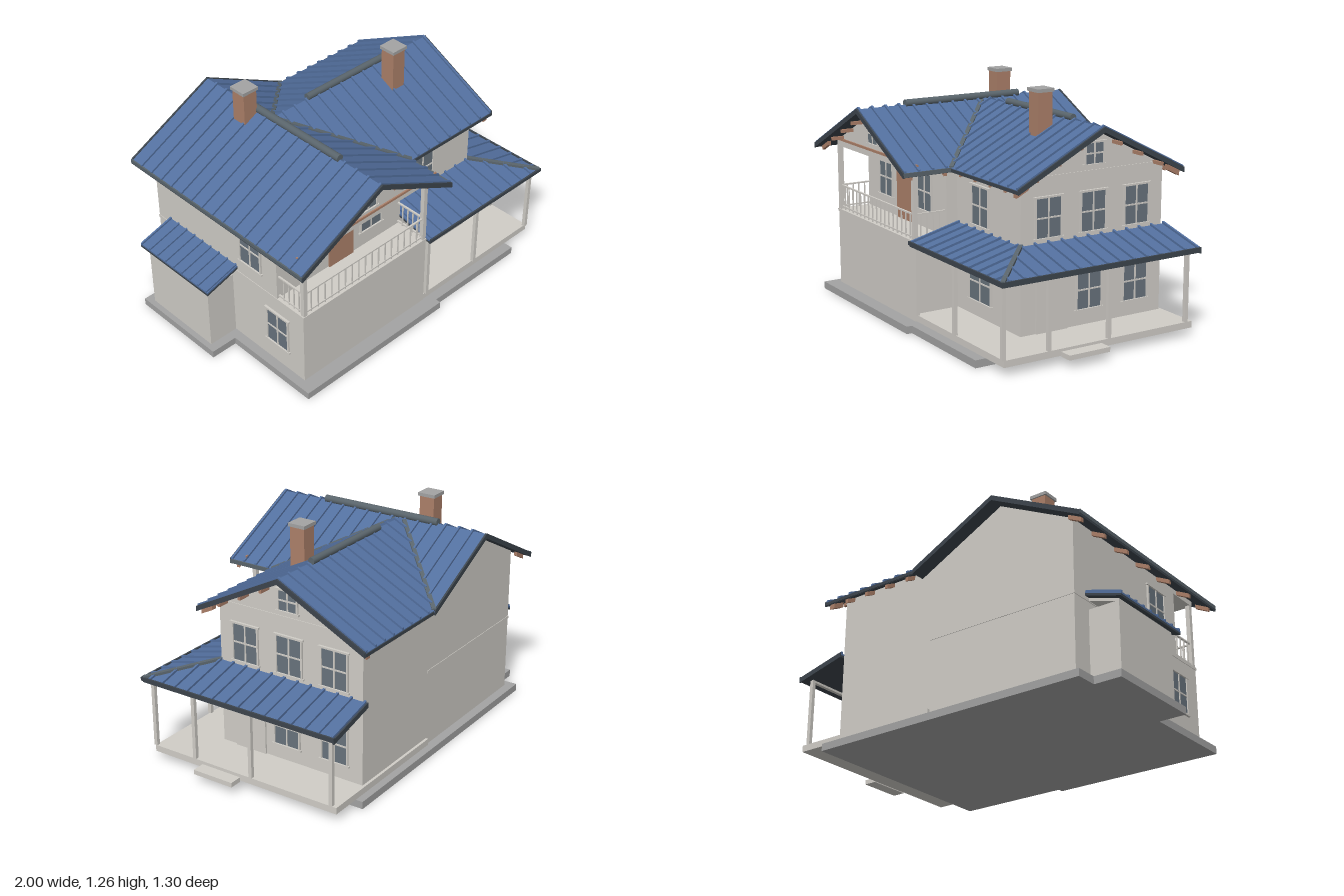
import * as THREE from 'three';

const material = (name, color) => {
  const m = new THREE.MeshStandardMaterial({ color });
  m.name = name;
  return m;
};

export function createModel() {
  const wall = material('plaster', 0xd0cdc7);
  const blue = material('blue roof metal', 0x53709f);
  const slate = material('dark trim', 0x3d454d);
  const cap = material('ridge metal', 0x5a656c);
  const glass = material('window glass', 0x68737d);
  const brown = material('brown wood and brick', 0xac8069);
  const stone = material('foundation stone', 0xa3a3a3);
  const house = new THREE.Group();
  house.name = 'house';

  const add = (name, geo, mat, parent = house) => {
    const m = new THREE.Mesh(geo, mat);
    m.name = name;
    parent.add(m);
    return m;
  };
  const box = (name, mat, x0, x1, y0, y1, z0, z1, parent = house) => {
    const m = add(name, new THREE.BoxGeometry(x1 - x0, y1 - y0, z1 - z0), mat, parent);
    m.position.set((x0 + x1) / 2, (y0 + y1) / 2, (z0 + z1) / 2);
    return m;
  };
  const shapeOf = pts => new THREE.Shape(pts.map(p => new THREE.Vector2(p[0], p[1])));
  // Prism over a plan polygon of [x, z], sheared onto the roof height h(x, z)
  const slab = (name, mat, plan, h, low, high) => {
    const geo = new THREE.ExtrudeGeometry(shapeOf(plan.map(([x, z]) => [x, -z])),
      { depth: high - low, bevelEnabled: false });
    geo.rotateX(-Math.PI / 2);
    const p = geo.attributes.position;
    for (let i = 0; i < p.count; i++) p.setY(i, p.getY(i) + low + h(p.getX(i), p.getZ(i)));
    geo.computeVertexNormals();
    return add(name, geo, mat);
  };
  const rect = (x0, x1, z0, z1) => [[x0, z0], [x1, z0], [x1, z1], [x0, z1]];
  const roofPanel = (name, plan, h) => {
    slab(name, blue, plan, h, -0.01, 0);
    slab(name + 'Soffit', slate, plan, h, -0.022, -0.01);
  };
  // Strip of roof metal along a plan line
  const strip = (name, mat, [x0, z0], [x1, z1], w, h, low, high) => {
    const l = Math.hypot(x1 - x0, z1 - z0), nx = -(z1 - z0) / l * w, nz = (x1 - x0) / l * w;
    slab(name, mat, [[x0 + nx, z0 + nz], [x1 + nx, z1 + nz], [x1 - nx, z1 - nz], [x0 - nx, z0 - nz]], h, low, high);
  };

  // Foundation, porch floor and step
  box('leftFoundation', stone, -0.85, 0.12, 0, 0.04, -0.62, 0.63);
  box('rightFoundation', stone, 0.12, 0.745, 0, 0.04, -0.62, 0.6);
  box('shedFoundation', stone, -1, -0.85, 0, 0.04, -0.5, 0.07);
  box('porchFloor', wall, 0.07, 0.92, 0.045, 0.08, -0.585, 0.55);
  box('porchStep', wall, 0.93, 1, 0.045, 0.07, -0.01, 0.23);

  // Left wing: lower storey, recessed upper storey, gable over the balcony
  const RX = -0.365, RZ = -0.135, TOP = 1.1;
  box('lowerLeftWing', wall, -0.8, 0.07, 0.04, 0.465, -0.57, 0.55);
  box('balconyFloor', wall, -0.803, 0.073, 0.455, 0.47, -0.573, 0.555);
  const gableBlock = (name, a, b, ridge, y0, depth) => new THREE.ExtrudeGeometry(
    shapeOf([[a, y0], [b, y0], [b, 0.862], [ridge, 1.078], [a, 0.862]]), { depth, bevelEnabled: false });
  add('upperLeftWing', gableBlock('', -0.8, 0.07, RX, 0.465, 0.93), wall).position.z = -0.57;
  add('balconyGable', gableBlock('', -0.8, 0.07, RX, 0.83, 0.2), wall).position.z = 0.35;
  box('gableBeam', brown, -0.84, 0.12, 0.864, 0.877, 0.55, 0.558);

  // Right wing
  const rightWing = add('rightWing', gableBlock('', -0.295, 0.57, -RZ, 0.04, 0.6), wall);
  rightWing.rotation.y = Math.PI / 2;
  rightWing.position.x = 0.07;
  box('sideGableBand', wall, 0.67, 0.674, 0.835, 0.875, -0.57, 0.295);

  // Main roofs, meeting in two valleys
  const hL = x => TOP - 0.505 * Math.abs(x - RX);
  const hR = (x, z) => TOP - 0.505 * Math.abs(z - RZ);
  const BACK = -0.645, FRONT = 0.645, LEFT = -0.89, RIGHT = 0.14, END = 0.76, RUN = 0.505;
  roofPanel('leftRoofOuter', rect(LEFT, RX, BACK, FRONT), hL);
  roofPanel('leftRoofInner', rect(RX, RIGHT, BACK, FRONT), hL);
  for (const s of [1, -1]) {
    const eave = RZ + s * RUN;
    roofPanel('rightRoof', [[RX, RZ], [END, RZ], [END, eave], [RIGHT, eave]], hR);
    strip('valley', cap, [RX + 0.03, RZ + s * 0.03], [RIGHT, eave], 0.011,
      (x, z) => Math.max(hL(x), hR(x, z)), 0, 0.007);
    for (let x = END - 0.012; x > RX + 0.03; x -= 0.08) {
      const run = Math.min(RUN, x - RX);
      const z = RZ + s * run;
      slab('rightRoofRib', blue, rect(x - 0.006, x + 0.006, Math.min(RZ, z), Math.max(RZ, z)), hR, 0, 0.012);
    }
    strip('sideVerge', slate, [END, RZ], [END, eave], 0.005, hR, -0.024, 0.004);
    box('rightEave', slate, RIGHT, END, 0.825, 0.842, eave - 0.004, eave + 0.004);
    for (const x of [0.2, 0.34, 0.48, 0.62])
      strip('rafterTail', brown, [x, eave - s * 0.08], [x, eave - s * 0.015], 0.009, hR, -0.045, -0.02);
    for (const d of [0.12, 0.25, 0.38])
      box('purlinEnd', brown, 0.67, 0.74, hR(0, RZ + d) - 0.043, hR(0, RZ + d) - 0.025,
        RZ + s * d - 0.008, RZ + s * d + 0.008);
    strip('endRafter', brown, [0.72, eave - s * 0.08], [0.72, eave - s * 0.01], 0.015, hR, -0.05, -0.02);
  }
  for (let z = FRONT - 0.01; z > BACK; z -= 0.08) {
    slab('leftRoofRib', blue, rect(LEFT, RX, z - 0.006, z + 0.006), hL, 0, 0.012);
    const reach = Math.min(RIGHT, RX + (z > RZ + RUN ? 1 : Math.abs(z - RZ)));
    if (reach > RX + 0.02) slab('leftRoofRib', blue, rect(RX, reach, z - 0.006, z + 0.006), hL, 0, 0.012);
  }
  for (const z of [BACK, FRONT]) for (const x of [LEFT, RIGHT])
    strip('verge', slate, [RX, z], [x, z], 0.005, hL, -0.024, 0.004);
  box('leftEave', cap, LEFT - 0.004, LEFT + 0.004, 0.822, 0.842, BACK, FRONT);
  box('innerEave', cap, RIGHT - 0.004, RIGHT + 0.004, 0.825, 0.847, RZ + RUN, FRONT);
  for (const z of [-0.6, -0.4, -0.2, 0, 0.2, 0.4, 0.6]) {
    strip('rafterTail', brown, [LEFT + 0.015, z], [LEFT + 0.09, z], 0.009, hL, -0.045, -0.02);
    if (z > 0.39) strip('rafterTail', brown, [0.07, z], [RIGHT - 0.01, z], 0.009, hL, -0.045, -0.02);
  }
  for (const d of [-0.36, -0.24, -0.12, 0.12, 0.24, 0.36])
    box('purlinEnd', brown, RX + d - 0.008, RX + d + 0.008, hL(RX + d) - 0.043, hL(RX + d) - 0.025, 0.55, 0.62);

  // Ridge caps
  const leftCap = add('leftRidgeCap', new THREE.CylinderGeometry(0.021, 0.021, 0.715, 12), cap);
  leftCap.rotation.x = Math.PI / 2;
  leftCap.position.set(RX, 1.107, 0);
  const rightCap = add('rightRidgeCap', new THREE.CylinderGeometry(0.019, 0.019, 0.605, 12), cap);
  rightCap.rotation.z = Math.PI / 2;
  rightCap.position.set(0.183, 1.109, -0.14);

  // Chimneys
  for (const [x, z, y] of [[0.382, -0.012, 1.24], [-0.42, -0.277, 1.23]]) {
    box('chimney', brown, x - 0.042, x + 0.042, 0.95, y, z - 0.043, z + 0.043);
    box('chimneyCap', stone, x - 0.05, x + 0.05, y, y + 0.018, z - 0.05, z + 0.05);
  }

  // Wraparound porch roof
  const hF = (x, z) => 0.54 - 0.25 * (z - 0.295);
  const hS = x => 0.54 - 0.25 * (x - 0.67);
  roofPanel('porchRoofFront', [[0.07, 0.295], [0.67, 0.295], [0.955, 0.58], [0.07, 0.58]], hF);
  roofPanel('porchRoofSide', [[0.67, -0.595], [0.67, 0.295], [0.955, 0.58], [0.955, -0.595]], hS);
  for (let x = 0.09; x < 0.93; x += 0.08)
    slab('porchRib', blue, rect(x - 0.006, x + 0.006, 0.295 + Math.max(0, x - 0.67), 0.58), hF, 0, 0.012);
  for (let z = -0.585; z < 0.56; z += 0.08)
    slab('porchRib', blue, rect(0.67 + Math.max(0, z - 0.295), 0.955, z - 0.006, z + 0.006), hS, 0, 0.012);
  strip('porchHip', cap, [0.67, 0.295], [0.955, 0.58], 0.011, (x, z) => Math.min(hF(x, z), hS(x)), 0, 0.014);
  box('porchFrontFascia', slate, 0.07, 0.962, 0.457, 0.476, 0.578, 0.588);
  box('porchSideFascia', slate, 0.953, 0.963, 0.457, 0.476, -0.6, 0.588);
  strip('porchEndVerge', slate, [0.67, -0.597], [0.96, -0.597], 0.004, hS, -0.024, 0.004);

  // Porch posts and beams
  const posts = [[0.09, 0.55], [0.47, 0.55], [0.91, 0.55], [0.91, 0.29], [0.91, -0.065], [0.91, -0.55]];
  for (const [x, z] of posts) box('porchPost', wall, x - 0.01, x + 0.01, 0.08, 0.455, z - 0.01, z + 0.01);
  box('porchFrontBeam', wall, 0.08, 0.92, 0.448, 0.46, 0.54, 0.56);
  box('porchSideBeam', wall, 0.9, 0.92, 0.448, 0.46, -0.56, 0.56);

  // Balcony posts and railing
  for (const x of [-0.785, 0.055]) {
    box('balconyPost', wall, x - 0.012, x + 0.012, 0.47, 0.835, 0.528, 0.552);
    for (const y of [0.485, 0.605]) box('sideRail', wall, x - 0.005, x + 0.005, y - 0.004, y + 0.004, 0.36, 0.54);
    for (let i = 1; i < 5; i++)
      box('sideBaluster', wall, x - 0.003, x + 0.003, 0.47, 0.605, 0.357 + i * 0.036, 0.363 + i * 0.036);
  }
  for (const y of [0.485, 0.605]) box('frontRail', wall, -0.785, 0.055, y - 0.004, y + 0.004, 0.535, 0.545);
  for (let i = 1; i < 18; i++) {
    const x = -0.785 + i * 0.84 / 18;
    box('frontBaluster', wall, x - 0.003, x + 0.003, 0.47, 0.605, 0.537, 0.543);
  }

  // Windows: glass, frame, glazing bars and sill
  const addWindow = (x, y, z, w, h, turn = 0) => {
    const g = new THREE.Group();
    g.name = 'window';
    const a = w / 2, b = h / 2, f = 0.01;
    box('glass', glass, -a, a, -b, b, 0, 0.004, g);
    for (const s of [-1, 1]) {
      box('frameSide', wall, s * a - f / 2, s * a + f / 2, -b, b, 0, 0.01, g);
      box(s < 0 ? 'sill' : 'head', wall, -a - 0.012, a + 0.012, s * b - f / 2, s * b + f / 2, 0, 0.013, g);
    }
    box('uprightBar', wall, -0.004, 0.004, -b, b, 0, 0.008, g);
    box('crossBar', wall, -a, a, -0.004, 0.004, 0, 0.008, g);
    g.position.set(x, y, z);
    g.rotation.y = turn;
    house.add(g);
  };
  const Q = Math.PI / 2;
  for (const x of [-0.58, -0.15]) addWindow(x, 0.667, 0.36, 0.15, 0.21);
  addWindow(RX, 0.96, 0.55, 0.115, 0.115);
  addWindow(0.302, 0.667, 0.295, 0.16, 0.21);
  addWindow(0.302, 0.265, 0.295, 0.21, 0.21);
  for (const z of [0.135, RZ, -0.405]) addWindow(0.67, 0.667, z, 0.155, 0.21, Q);
  for (const z of [-0.115, -0.405]) addWindow(0.67, 0.265, z, 0.155, 0.21, Q);
  addWindow(0.674, 0.96, RZ, 0.115, 0.115, Q);
  addWindow(-0.8, 0.667, 0.17, 0.155, 0.21, -Q);
  addWindow(-0.8, 0.265, 0.36, 0.155, 0.21, -Q);

  // Doors
  box('balconyDoor', brown, -0.45, -0.28, 0.47, 0.8, 0.36, 0.369);
  box('porchDoor', wall, 0.67, 0.679, 0.08, 0.425, 0.018, 0.207);

  // Lean-to shed
  const hShed = x => 0.5 + 0.3 * (x + 0.8);
  slab('shedWalls', wall, rect(-0.97, -0.8, -0.45, 0.02), x => 0.3 * (x + 0.97), 0.41, 0.425);
  box('shedBody', wall, -0.97, -0.8, 0.04, 0.415, -0.45, 0.02);
  roofPanel('shedRoof', rect(-1, -0.8, -0.48, 0.06), hShed);
  for (let z = -0.47; z < 0.06; z += 0.065)
    slab('shedRib', blue, rect(-1, -0.8, z - 0.005, z + 0.005), hShed, 0, 0.01);
  return house;
}
